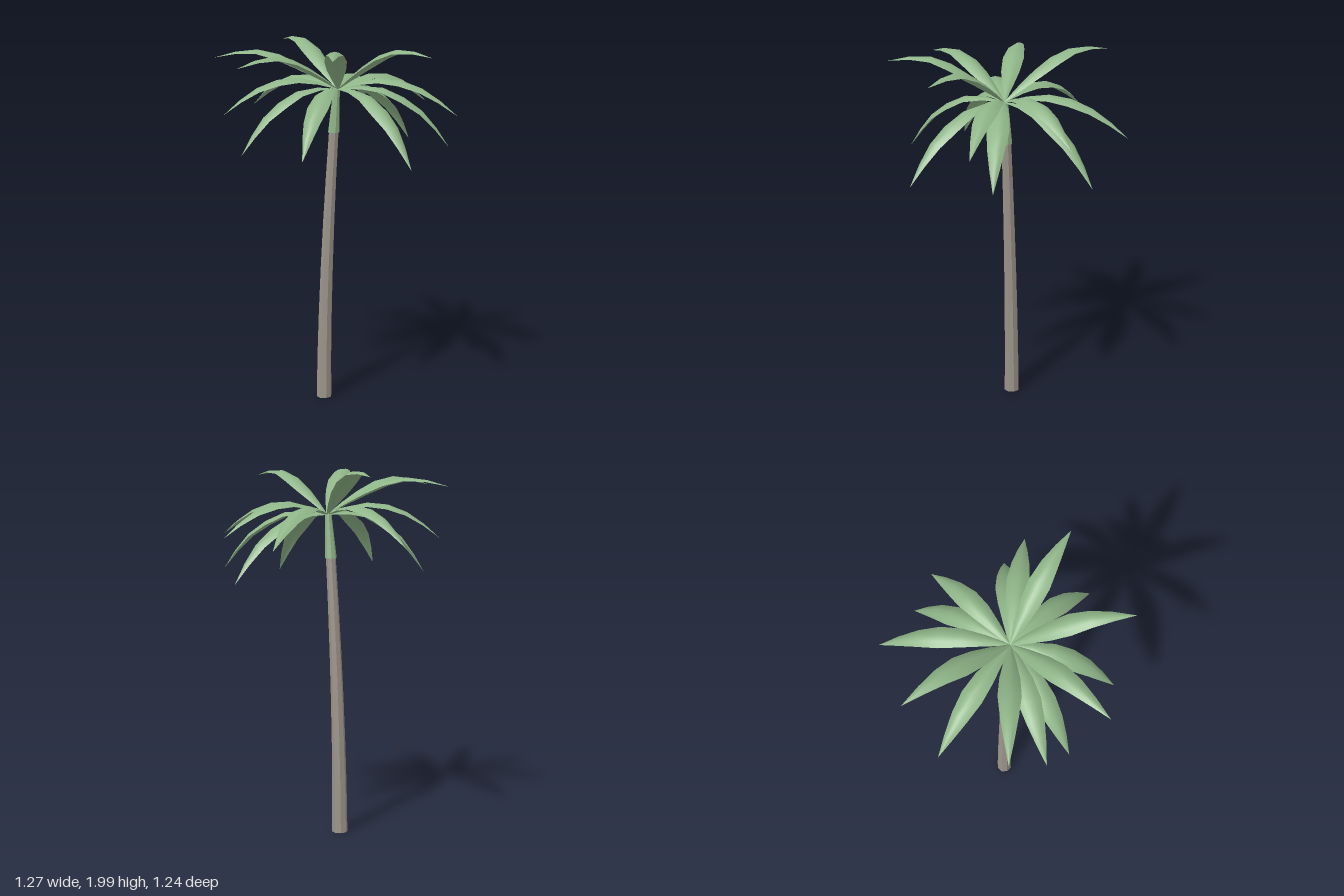
import * as THREE from 'three';

const CROWN = new THREE.Vector3(0, 1.755, 0.025);
const SEGMENTS = 6;
const WIDTHS = [0.01, 0.06, 0.1, 0.115, 0.09, 0.05, 0.001];
const ACROSS = [-1, -0.5, 0, 0.5, 1];

// Spine shapes as [fraction of reach, height above the crown]
const SPINES = {
  upper: [[0, 0], [0.25, 0.12], [0.5, 0.21], [0.73, 0.237], [1, 0.205]],
  middle: [[0, 0], [0.15, 0.035], [0.33, 0.06], [0.53, 0.05], [0.77, -0.015], [1, -0.135]],
  lower: [[0, 0], [0.2, 0.012], [0.4, 0], [0.63, -0.07], [0.82, -0.17], [1, -0.33]],
};

// Tip of every frond: [x, y, z]
const TIPS = {
  upper: [[0.59, 1.96, 0.135], [0.26, 1.97, 0.575], [-0.26, 1.91, 0.615],
    [-0.635, 1.91, 0.24], [-0.54, 1.965, -0.325]],
  middle: [[-0.16, 1.6, -0.62], [0.28, 1.64, -0.5], [0.63, 1.635, -0.115],
    [-0.49, 1.63, 0.385], [-0.62, 1.61, -0.13]],
  lower: [[0.15, 1.41, -0.56], [0.55, 1.45, -0.2], [0.55, 1.41, 0.28],
    [0.08, 1.46, 0.56], [-0.34, 1.435, 0.46]],
};

// Arched leaf blade swept along a drooping spine
function frondGeometry(spine, [x, y, z]) {
  const dx = x - CROWN.x, dz = z - CROWN.z;
  const reach = Math.hypot(dx, dz);
  const dir = new THREE.Vector3(dx / reach, 0, dz / reach);
  const side = new THREE.Vector3(dir.z, 0, -dir.x);
  const lift = y - CROWN.y - spine[spine.length - 1][1];
  const curve = new THREE.SplineCurve(
    spine.map(([t, h]) => new THREE.Vector2(t * reach, h + lift * t)));

  const positions = [], index = [];
  for (let i = 0; i <= SEGMENTS; i++) {
    const p = curve.getPointAt(i / SEGMENTS);
    const tangent = curve.getTangentAt(i / SEGMENTS);
    const normal = dir.clone().multiplyScalar(-tangent.y);
    normal.y = tangent.x;
    for (const a of ACROSS) {
      const v = CROWN.clone().addScaledVector(dir, p.x)
        .addScaledVector(side, a * WIDTHS[i] / 2)
        .addScaledVector(normal, -0.22 * WIDTHS[i] * a * a);
      v.y += p.y;
      positions.push(v.x, v.y, v.z);
    }
  }
  const n = ACROSS.length;
  for (let i = 0; i < SEGMENTS; i++) {
    for (let j = 0; j < n - 1; j++) {
      const a = i * n + j, b = a + n;
      index.push(a, b, a + 1, b, b + 1, a + 1);
    }
  }
  const geometry = new THREE.BufferGeometry();
  geometry.setAttribute('position', new THREE.Float32BufferAttribute(positions, 3));
  geometry.setIndex(index);
  geometry.computeVertexNormals();
  return geometry;
}

// Eight-sided stem piece leaning along the curve of the trunk
function stemGeometry(y0, y1, r0, r1, rows) {
  const geometry = new THREE.CylinderGeometry(r1, r0, y1 - y0, 8, rows);
  geometry.translate(0, (y0 + y1) / 2, CROWN.z);
  const pos = geometry.attributes.position;
  for (let i = 0; i < pos.count; i++) {
    const lean = -0.09 + 0.065 * Math.pow(Math.max(pos.getY(i), 0) / 1.53, 1.7);
    pos.setX(i, pos.getX(i) + lean);
  }
  geometry.computeVertexNormals();
  return geometry;
}

export function createModel() {
  const group = new THREE.Group();
  group.name = 'palmTree';
  const bark = new THREE.MeshStandardMaterial({ color: 0x9c948a, flatShading: true });
  const sheath = new THREE.MeshStandardMaterial({ color: 0x8fb588, flatShading: true });
  const leaf = new THREE.MeshStandardMaterial({ color: 0x8fb588, side: THREE.DoubleSide });

  const add = (parent, name, geometry, material) => {
    const mesh = new THREE.Mesh(geometry, material);
    mesh.name = name;
    parent.add(mesh);
  };

  // Trunk and the green shaft above it
  add(group, 'trunk', stemGeometry(0, 1.53, 0.043, 0.027, 6), bark);
  add(group, 'crownShaft', stemGeometry(1.52, 1.755, 0.032, 0.018, 2), sheath);

  // Three tiers of fronds
  for (const tier of Object.keys(TIPS)) {
    const fronds = new THREE.Group();
    fronds.name = `${tier}Fronds`;
    for (const tip of TIPS[tier]) add(fronds, 'frond', frondGeometry(SPINES[tier], tip), leaf);
    group.add(fronds);
  }
  return group;
}
